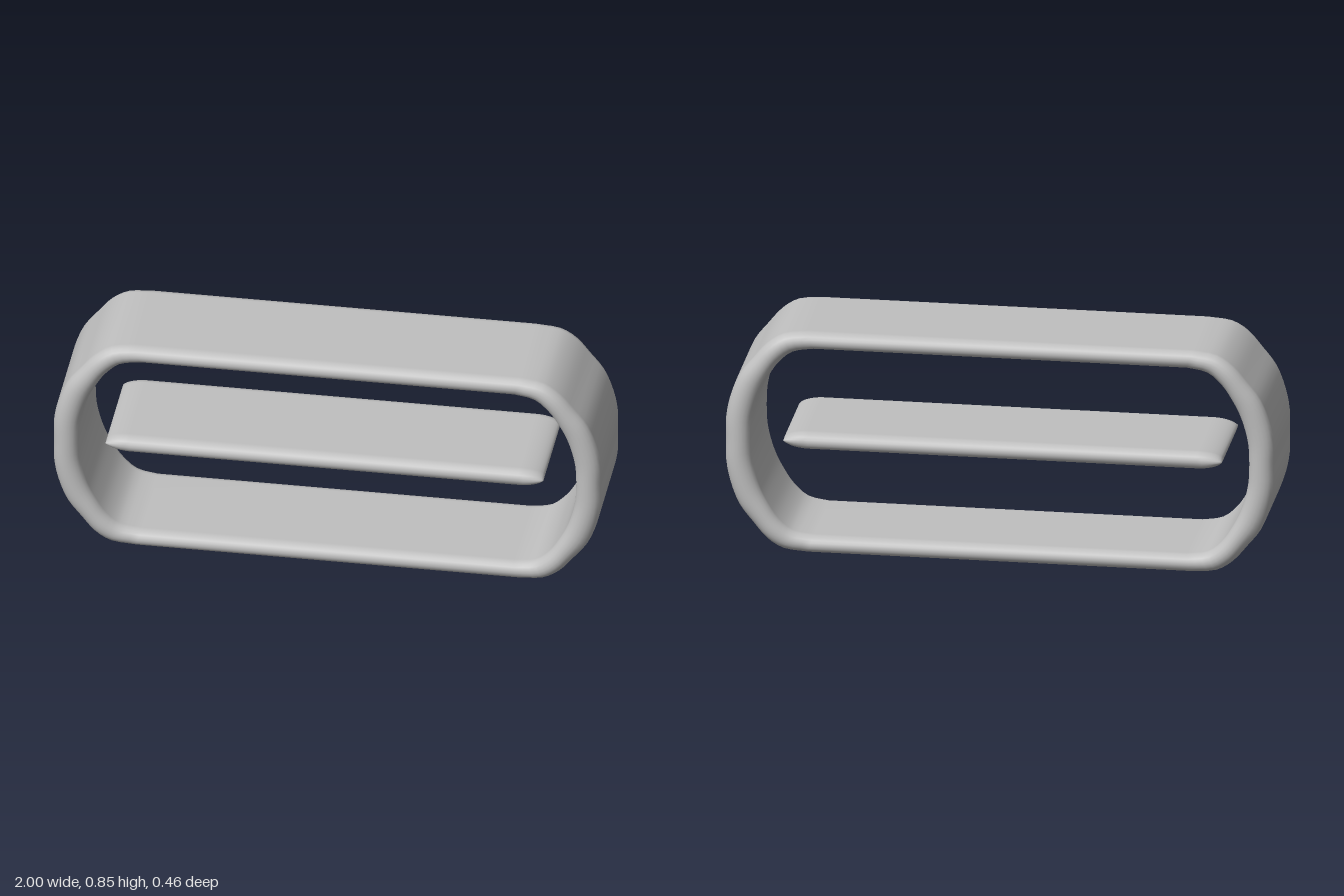
import * as THREE from 'three';

const MID_Y = 0.4225;
const EDGE = 0.042; // how far the rounded rim reaches in from the front and back

// Flat section with rounded ends, between an outer and an inner point
function section(outer, inner, halfDepth, edge = EDGE) {
  const points = [];
  const n = 10;
  for (const side of [1, -1]) {
    const start = side > 0 ? 0 : Math.PI;
    for (let i = 0; i <= n; i++) {
      const a = start + Math.PI * i / n;
      const p = inner.clone().lerp(outer, (1 + Math.cos(a)) / 2);
      points.push(new THREE.Vector3(p.x, p.y, side * (halfDepth - edge) + edge * Math.sin(a)));
    }
  }
  return points;
}

// Smooth skin over a row of sections
function loft(rings, closed) {
  const m = rings[0].length;
  const index = [];
  const last = closed ? rings.length : rings.length - 1;
  for (let i = 0; i < last; i++) {
    for (let j = 0; j < m; j++) {
      const k = (i + 1) % rings.length, l = (j + 1) % m;
      const a = i * m + j, b = k * m + j, c = k * m + l, d = i * m + l;
      index.push(a, b, c, a, c, d);
    }
  }
  const geometry = new THREE.BufferGeometry().setFromPoints(rings.flat());
  geometry.setIndex(index);
  geometry.computeVertexNormals();
  return geometry;
}

function curve(points) {
  return new THREE.CatmullRomCurve3(points.map(([x, y]) => new THREE.Vector3(x, y, 0)));
}

// One quarter of the frame, from the middle of the end to the straight bar
const outerCurve = curve([[1, 0], [1, 0.08], [0.985, 0.16], [0.95, 0.25], [0.9, 0.315],
  [0.85, 0.373], [0.79, 0.411], [0.7, 0.4225]]);
const innerCurve = curve([[0.908, 0], [0.905, 0.07], [0.893, 0.13], [0.873, 0.19], [0.845, 0.245],
  [0.808, 0.3], [0.757, 0.342], [0.68, 0.356]]);

function frameGeometry() {
  const n = 21;
  const rings = [];
  const add = (i, sx, sy) => {
    const flip = new THREE.Vector3(sx, sy, 1);
    const halfDepth = 0.218 + 0.01 * (1 - THREE.MathUtils.smoothstep(i / n, 0.7, 1));
    rings.push(section(outerCurve.getPoint(i / n).multiply(flip),
      innerCurve.getPoint(i / n).multiply(flip), halfDepth));
  };
  for (let i = 0; i <= n; i++) add(i, 1, 1);
  for (let i = n; i >= 0; i--) add(i, -1, 1);
  for (let i = 1; i <= n; i++) add(i, -1, -1);
  for (let i = n; i >= 1; i--) add(i, 1, -1);
  return loft(rings, true);
}

// Thin centre bar whose ends taper to a rounded edge
function barGeometry() {
  const n = 8;
  const rings = [];
  const add = (a, side) => {
    const x = -0.01 + side * (0.71 + 0.09 * Math.sin(a));
    const h = 0.033 * Math.cos(a);
    rings.push(section(new THREE.Vector3(x, 0.005 + h, 0), new THREE.Vector3(x, 0.005 - h, 0),
      0.2 + 0.018 * Math.cos(a)));
  };
  for (let i = n; i >= 0; i--) add(Math.PI / 2 * i / n, 1);
  for (let i = 0; i <= n; i++) add(Math.PI / 2 * i / n, -1);
  return loft(rings, false);
}

export function createModel() {
  const grey = new THREE.MeshStandardMaterial({ color: 0xc0c0c0 });
  grey.name = 'grey';
  const model = new THREE.Group();
  model.name = 'slideBuckle';
  for (const [name, geometry] of [['frame', frameGeometry()], ['centreBar', barGeometry()]]) {
    const mesh = new THREE.Mesh(geometry, grey);
    mesh.name = name;
    mesh.position.y = MID_Y;
    model.add(mesh);
  }
  return model;
}
